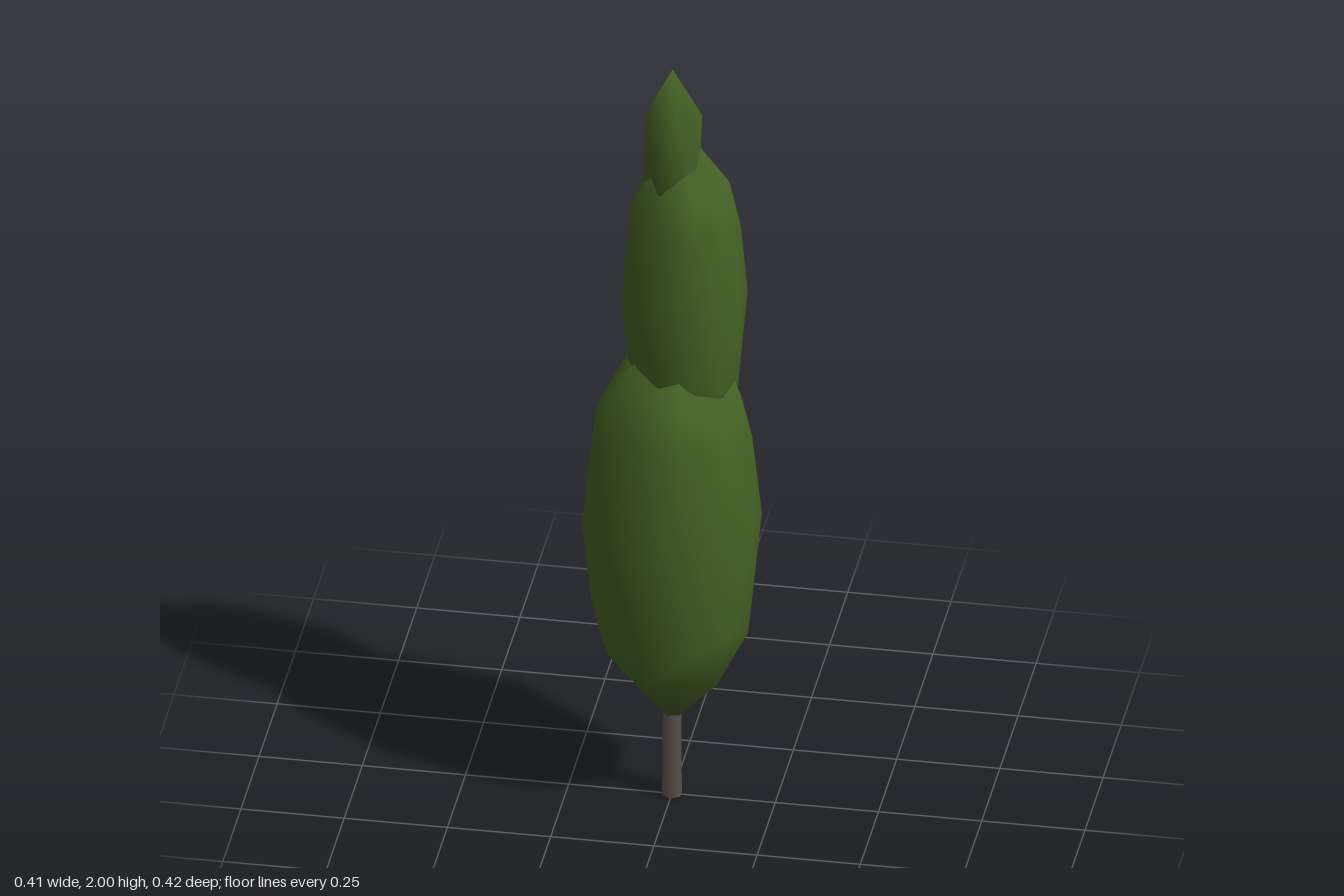
import * as THREE from 'three';
import { mergeVertices } from 'three/addons/utils/BufferGeometryUtils.js';

// Icosphere standing on a corner: two poles and two staggered rings of five.
function icosphere(detail) {
  const verts = [0, 1, 0];
  const faces = [];
  for (const [y, start] of [[1, 0], [-1, Math.PI / 5]]) {
    for (let k = 0; k < 5; k++) {
      const a = start + (k * Math.PI * 2) / 5;
      verts.push(Math.cos(a) * 2, y, Math.sin(a) * 2);
    }
  }
  verts.push(0, -1, 0);
  for (let k = 0; k < 5; k++) {
    const n = (k + 1) % 5;
    const u = 1 + k, un = 1 + n, l = 6 + k, ln = 6 + n;
    faces.push(0, un, u, u, un, l, l, un, ln, 11, l, ln);
  }
  const geo = new THREE.PolyhedronGeometry(verts, faces, 1, detail);
  geo.deleteAttribute('normal');
  geo.deleteAttribute('uv');
  return mergeVertices(geo, 1e-3);
}

// Stretched clump of foliage; a bulge pushes out one corner at the back.
function foliage(name, detail, center, radii, bulge, material) {
  const geo = icosphere(detail);
  const pos = geo.attributes.position;
  for (let i = 0; i < pos.count; i++) {
    const x = pos.getX(i), y = pos.getY(i), z = pos.getZ(i);
    if (Math.abs(y) < 0.01 && Math.abs(x - 0.588) < 0.02 && z < 0) {
      pos.setXYZ(i, x * (1 + bulge * 0.7), y, z * (1 + bulge));
    }
  }
  geo.scale(...radii);
  geo.computeVertexNormals();
  const mesh = new THREE.Mesh(geo, material);
  mesh.name = name;
  mesh.position.set(...center);
  return mesh;
}

export function createModel() {
  const group = new THREE.Group();
  group.name = 'cypressTree';
  const leaf = new THREE.MeshStandardMaterial({ color: 0x466325 });
  leaf.name = 'leaf green';
  const bark = new THREE.MeshStandardMaterial({ color: 0x5a514b });
  bark.name = 'bark grey';

  // Slim trunk reaching into the crown
  const trunk = new THREE.Mesh(new THREE.CylinderGeometry(0.023, 0.025, 0.4, 6), bark);
  trunk.name = 'trunk';
  trunk.position.y = 0.2;

  // Three overlapping clumps, largest at the bottom
  group.add(
    trunk,
    foliage('lowerFoliage', 1, [0, 0.76, 0], [0.217, 0.56, 0.212], 0.15, leaf),
    foliage('middleFoliage', 1, [0.026, 1.37, -0.025], [0.152, 0.46, 0.15], 0.12, leaf),
    foliage('topFoliage', 0, [0, 1.783, -0.01], [0.08, 0.217, 0.08], 0, leaf),
  );
  return group;
}
